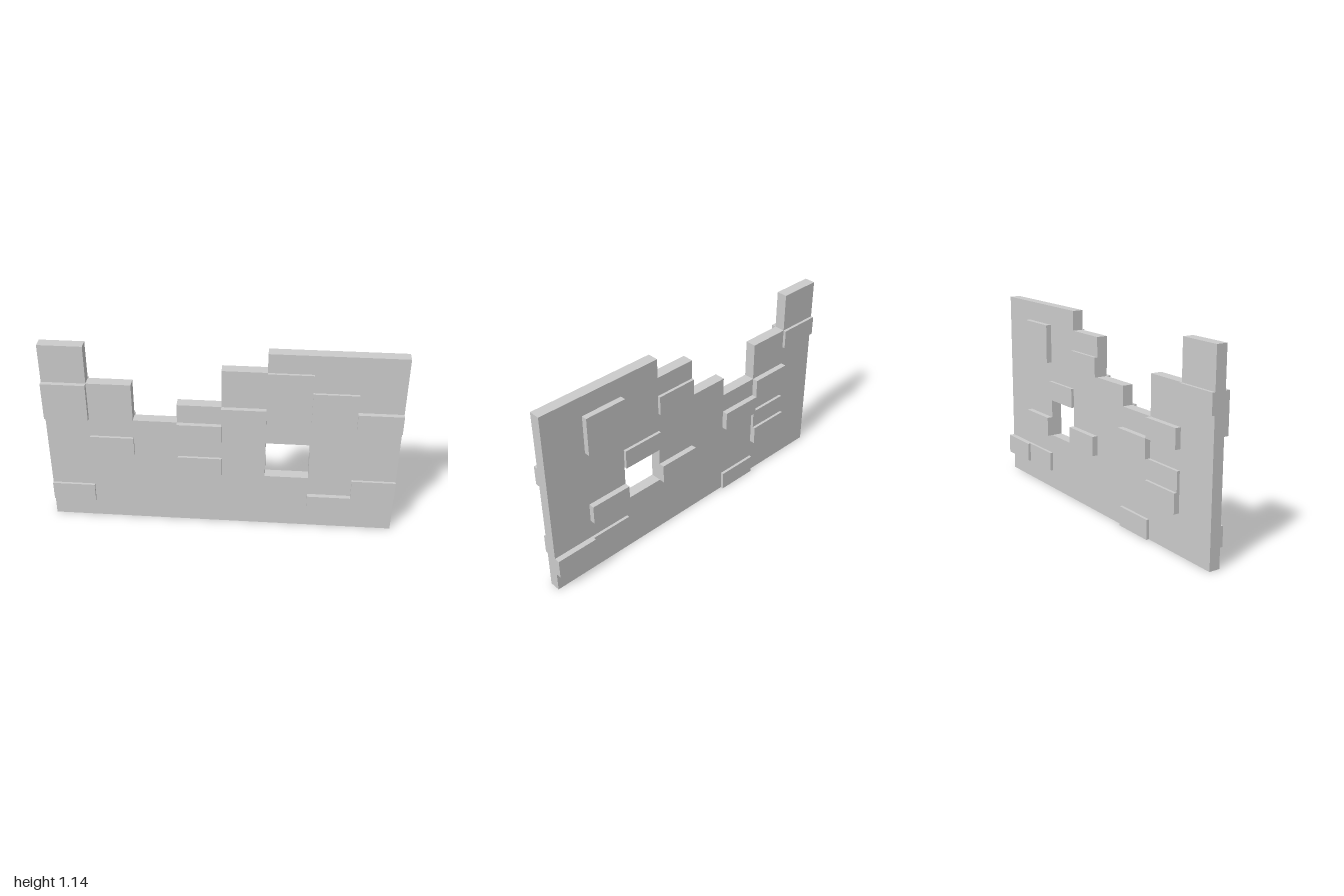
import * as THREE from 'three';

const COL = 0.25;        // brick width
const ROW = 1.143 / 10;  // brick height
const FRONT = 0.035;     // wall faces
const BACK = -0.029;

const colX = (c) => -1 + c * COL;

export function createModel() {
  const model = new THREE.Group();
  model.name = 'ruinedWall';
  const material = new THREE.MeshStandardMaterial({ color: 0xcccccc, flatShading: true });

  // Wall slab: broken top stepping by column, with a window hole
  const heights = [10, 8, 6, 7, 9, 10, 10, 10];
  const outline = new THREE.Shape();
  outline.moveTo(1, 0);
  for (let c = 7; c >= 0; c--) {
    outline.lineTo(colX(c + 1), heights[c] * ROW);
    if (c === 0 || heights[c - 1] !== heights[c]) outline.lineTo(colX(c), heights[c] * ROW);
  }
  outline.lineTo(-1, 0);
  const hole = new THREE.Path();
  hole.moveTo(colX(5), 3 * ROW);
  hole.lineTo(colX(6), 3 * ROW);
  hole.lineTo(colX(6), 5 * ROW);
  hole.lineTo(colX(5), 5 * ROW);
  hole.closePath();
  outline.holes.push(hole);
  const slab = new THREE.Mesh(
    new THREE.ExtrudeGeometry(outline, { depth: FRONT - BACK, bevelEnabled: false }), material);
  slab.position.z = BACK;
  slab.name = 'wallSlab';
  model.add(slab);

  // Raised bricks: [column, row, rows tall, stands out far]
  const addBricks = (name, list, face, low, high) => {
    const group = new THREE.Group();
    group.name = name;
    for (const [c, r, tall, far] of list) {
      const outer = far ? high : low;
      const brick = new THREE.Mesh(
        new THREE.BoxGeometry(COL, tall * ROW, Math.abs(outer - face)), material);
      brick.position.set(colX(c + 0.5), (r + tall / 2) * ROW, (outer + face) / 2);
      brick.name = 'brick';
      group.add(brick);
    }
    model.add(group);
  };

  addBricks('frontBricks', [
    [0, 1, 1, 0], [0, 6, 2, 1], [1, 4, 1, 0], [3, 3, 1, 0], [3, 5, 1, 1], [4, 6, 1, 1],
    [5, 8, 1, 0], [6, 6, 2, 0], [6, 1, 1, 1], [7, 6, 1, 1], [7, 2, 1, 0],
  ], FRONT, 0.05, 0.062);

  addBricks('backBricks', [
    [0, 7, 1, 0], [1, 5, 1, 1], [1, 3, 1, 0], [1, 2, 1, 1], [2, 4, 1, 1], [2, 0, 1, 0],
    [4, 7, 1, 0], [4, 3, 1, 1], [5, 5, 1, 0], [6, 7, 2, 1], [6, 3, 1, 1], [6, 1, 1, 0],
    [7, 1, 1, 1],
  ], BACK, -0.046, -0.062);

  return model;
}
